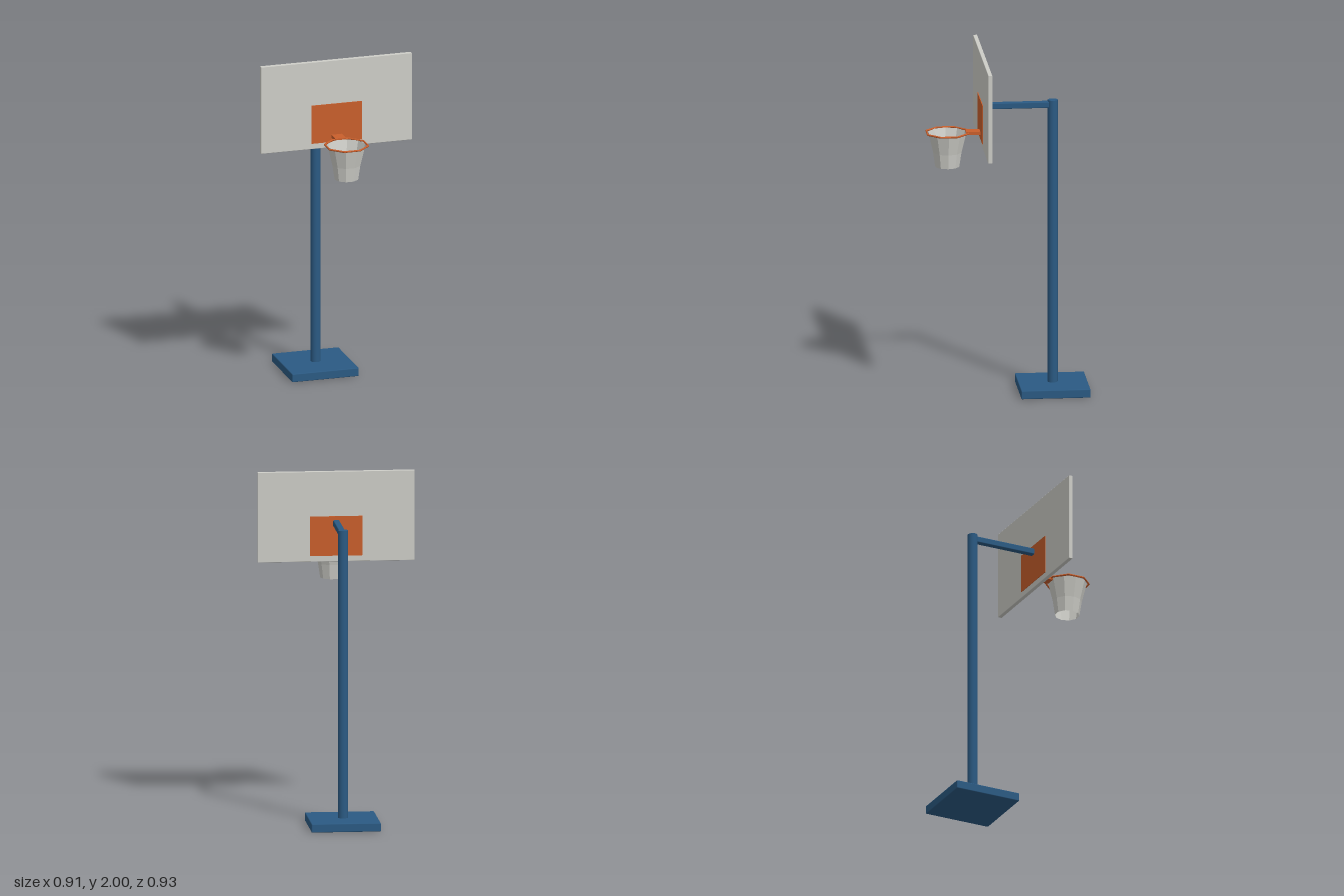
import * as THREE from 'three';
import { RoundedBoxGeometry } from 'three/addons/geometries/RoundedBoxGeometry.js';

const blue = new THREE.MeshStandardMaterial({ name: 'blue paint', color: 0x2b5a83 });
const orange = new THREE.MeshStandardMaterial({ name: 'orange paint', color: 0xc95f2c });
const grey = new THREE.MeshStandardMaterial({ name: 'pale grey', color: 0xcdcdc7 });
const netting = new THREE.MeshStandardMaterial({ name: 'netting', color: 0xcfcfc9, side: THREE.DoubleSide });

// Faceted normals for the low-poly round parts
function facet(geometry) {
  const flat = geometry.toNonIndexed();
  flat.computeVertexNormals();
  return flat;
}

export function createModel() {
  const model = new THREE.Group();
  model.name = 'basketballHoop';

  function add(name, geometry, material, x, y, z) {
    const mesh = new THREE.Mesh(geometry, material);
    mesh.name = name;
    mesh.position.set(x, y, z);
    model.add(mesh);
    return mesh;
  }
  // Box with narrow chamfered edges
  const bevelBox = (w, h, d, r) => new RoundedBoxGeometry(w, h, d, 1, r);

  const poleZ = -0.266;
  const hoopZ = 0.343;

  // Stand
  add('base', bevelBox(0.4, 0.05, 0.4, 0.005), blue, 0, 0.025, poleZ);
  add('pole', new THREE.CylinderGeometry(0.029, 0.029, 1.685, 16), blue, 0, 0.8825, poleZ);
  add('arm', bevelBox(0.036, 0.036, 0.396, 0.005), blue, 0, 1.698, -0.068);

  // Backboard, with the target panel showing on both faces
  add('backboard', bevelBox(0.906, 0.525, 0.024, 0.003), grey, 0, 1.7375, 0.138);
  for (const [name, z] of [['frontTarget', 0.152], ['backTarget', 0.125]]) {
    add(name, new THREE.BoxGeometry(0.304, 0.23, 0.005), orange, 0, 1.624, z);
  }

  // Bracket and eight-sided rim
  add('bracket', new THREE.BoxGeometry(0.062, 0.018, 0.085), orange, 0, 1.544, 0.1935);
  const rim = facet(new THREE.TorusGeometry(0.1255, 0.0055, 6, 8));
  rim.rotateZ(Math.PI / 8).rotateX(Math.PI / 2);
  add('rim', rim, orange, 0, 1.546, hoopZ);

  // Open, tapering ten-sided net
  const profile = [[0.071, 1.345], [0.084, 1.43], [0.112, 1.545]]
    .map(([r, y]) => new THREE.Vector2(r, y));
  const net = facet(new THREE.LatheGeometry(profile, 10, Math.PI / 2));
  add('net', net, netting, 0, 0, hoopZ);

  return model;
}
